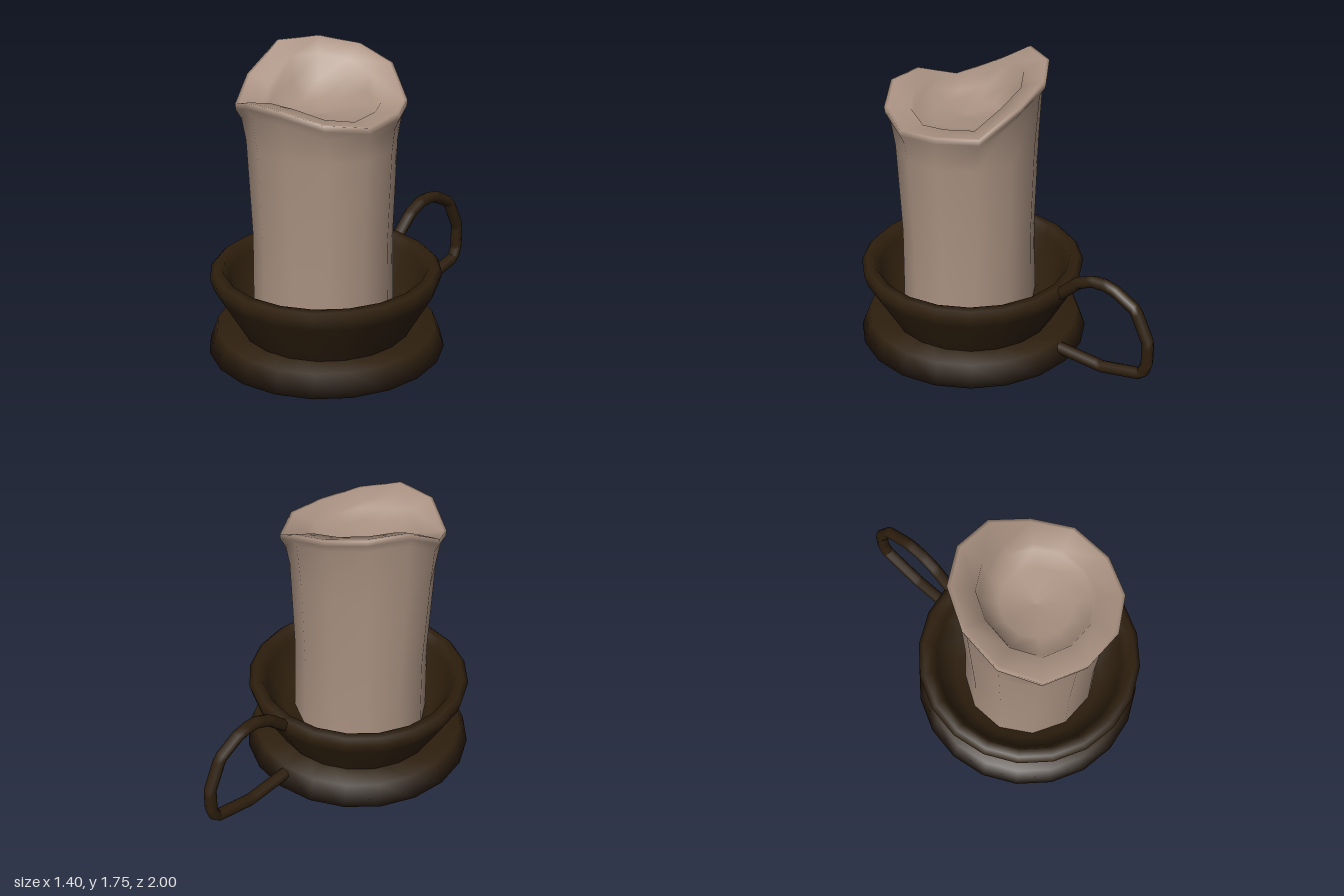
import * as THREE from 'three';

const CENTER_Z = 0.3;
const wood = new THREE.MeshStandardMaterial({ color: 0x2e1f0e });
const wax = new THREE.MeshStandardMaterial({ color: 0xaa9282 });

function lathe(name, profile) {
  const points = profile.map(([r, y]) => new THREE.Vector2(r, y));
  const mesh = new THREE.Mesh(new THREE.LatheGeometry(points, 20), wood);
  mesh.name = name;
  mesh.position.z = CENTER_Z;
  return mesh;
}

// Twelve-sided candle whose molten rim rises and falls from side to side
function candleGeometry() {
  const rim = [1.585, 1.52, 1.48, 1.5, 1.5, 1.65, 1.72, 1.755, 1.75, 1.6, 1.5, 1.58];
  const n = rim.length;
  // Each ring: half-width in x, half-width in z, height for a given rim height
  const rings = [
    [0.41, 0.385, () => 0.18],
    [0.4, 0.38, () => 0.7],
    [0.425, 0.4, () => 1.28],
    [0.437, 0.43, (h) => h - 0.09],
    [0.46, 0.465, (h) => h - 0.035],
    [0.46, 0.47, (h) => h],
    [0.44, 0.45, (h) => h],
    [0.32, 0.32, (h) => 1.45 + (h - 1.45) * 0.78],
    [0.3, 0.3, (h) => 1.45 + (h - 1.45) * 0.3],
    [0.2, 0.2, () => 1.45],
    [0, 0, () => 1.43],
  ];
  const positions = [];
  const index = [];
  rings.forEach(([hx, hz, height], i) => {
    for (let j = 0; j < n; j++) {
      const angle = ((j + 0.5) / n) * Math.PI * 2;
      const s = 1 / Math.cos(Math.PI / n);
      positions.push(Math.sin(angle) * hx * s, height(rim[j]), Math.cos(angle) * hz * s);
      if (i === rings.length - 1) continue;
      const a = i * n + j;
      const b = i * n + ((j + 1) % n);
      index.push(a, b, b + n);
      if (i < rings.length - 2) index.push(a, b + n, a + n);
    }
  });
  const geometry = new THREE.BufferGeometry();
  geometry.setAttribute('position', new THREE.Float32BufferAttribute(positions, 3));
  geometry.setIndex(index);
  geometry.computeVertexNormals();
  return geometry;
}

export function createModel() {
  const group = new THREE.Group();
  group.name = 'candleHolder';

  // Flared foot
  group.add(lathe('base', [[0, 0], [0.7, 0], [0.65, 0.13], [0.45, 0.13], [0, 0.13]]));

  // Open bowl with a rolled rim
  group.add(lathe('bowl', [
    [0.5, 0.12], [0.66, 0.4], [0.68, 0.47], [0.65, 0.5], [0.6, 0.5],
    [0.57, 0.44], [0.46, 0.22], [0, 0.2],
  ]));

  // Looped handle running from the bowl rim back to the foot
  const path = new THREE.CurvePath();
  const pts = [
    [0.41, -0.3], [0.58, -0.48], [0.625, -0.58], [0.63, -0.66], [0.615, -0.73], [0.54, -0.87],
    [0.35, -0.962], [0.2, -0.962], [0.125, -0.93], [0.065, -0.66], [0.08, -0.3],
  ].map(([y, z]) => new THREE.Vector3(0, y, z));
  for (let i = 0; i < pts.length - 1; i++) path.add(new THREE.LineCurve3(pts[i], pts[i + 1]));
  const handle = new THREE.Mesh(new THREE.TubeGeometry(path, 48, 0.037, 8), wood);
  handle.name = 'handle';
  group.add(handle);

  // Candle standing in the bowl
  const candle = new THREE.Mesh(candleGeometry(), wax);
  candle.name = 'candle';
  candle.position.z = 0.322;
  group.add(candle);

  return group;
}
